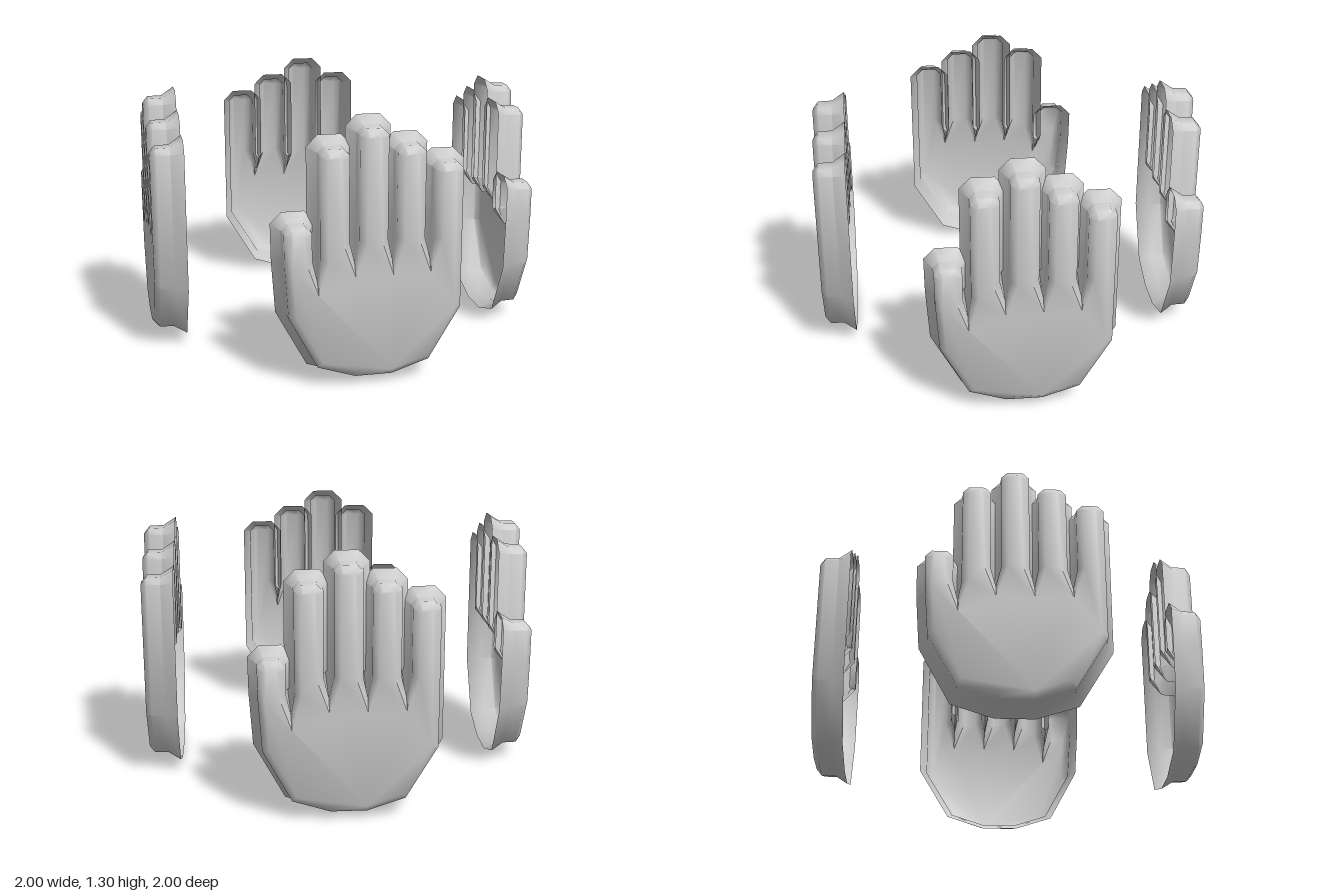
import * as THREE from 'three';
import { toCreasedNormals } from 'three/addons/utils/BufferGeometryUtils.js';

// finger: [left x, right x, tip y], thumb first
const FINGERS = [
  [-0.435, -0.3, 0.815],
  [-0.26, -0.122, 1.18],
  [-0.073, 0.065, 1.27],
  [0.108, 0.246, 1.18],
  [0.295, 0.43, 1.09],
];
// gap between neighbouring fingers: [x, y]
const VALLEYS = [[-0.277, 0.55], [-0.097, 0.63], [0.087, 0.63], [0.271, 0.63]];
// cross-section of the shell: [outward offset, depth]
const LAYERS = [[-0.033, 1], [0, 0.972], [0.002, 0.9], [0.042, 0.835]];

// Hand contour, counter-clockwise seen from the front
function handOutline() {
  const pts = [[-0.432, 0.62], [-0.415, 0.37], [-0.275, 0.11], [-0.09, 0.05],
    [0.09, 0.05], [0.275, 0.11], [0.43, 0.37]];
  for (let i = FINGERS.length - 1; i >= 0; i--) {
    const [l, r, top] = FINGERS[i];
    const c = 0.03;
    if (i < 4) pts.push([r, VALLEYS[i][1] + 0.1]);
    pts.push([r, top - c], [r - c, top], [l + c, top], [l, top - c]);
    if (i > 0) pts.push([l, VALLEYS[i - 1][1] + 0.1], VALLEYS[i - 1]);
  }
  return pts.map(([x, y]) => new THREE.Vector2(x, y));
}

// Moves every corner outward along its mitre, limited at the sharp valleys
function offsetOutline(pts, d) {
  const n = pts.length;
  return pts.map((p, i) => {
    const a = p.clone().sub(pts[(i + n - 1) % n]).normalize();
    const b = pts[(i + 1) % n].clone().sub(p).normalize();
    const normal = new THREE.Vector2(a.y + b.y, -a.x - b.x).normalize();
    const cos = normal.x * a.y - normal.y * a.x;
    return p.clone().addScaledVector(normal, d * Math.min(1 / cos, 2));
  });
}

function handGeometry() {
  const outline = handOutline();
  const n = outline.length;
  const positions = [];
  const index = [];
  const rings = LAYERS.map(([d]) => offsetOutline(outline, d));
  rings.forEach((ring, k) => ring.forEach((p) => positions.push(p.x, p.y, LAYERS[k][1])));
  // palm and finger faces
  for (const [a, b, c] of THREE.ShapeUtils.triangulateShape(rings[0], [])) index.push(a, b, c);
  // bevel, wall and flared rim
  for (let k = 0; k < LAYERS.length - 1; k++) {
    for (let i = 0; i < n; i++) {
      const j = (i + 1) % n;
      const a = k * n + i, b = k * n + j;
      index.push(a, a + n, b, b, a + n, b + n);
    }
  }
  const geometry = new THREE.BufferGeometry();
  geometry.setAttribute('position', new THREE.Float32BufferAttribute(positions, 3));
  geometry.setIndex(index);
  return toCreasedNormals(geometry, 0.9);
}

export function createModel() {
  const model = new THREE.Group();
  model.name = 'handRing';
  const material = new THREE.MeshStandardMaterial({ color: 0xcccccc, side: THREE.DoubleSide });
  const geometry = handGeometry();
  // four hollow hands, palms outward, a quarter turn apart
  ['frontHand', 'leftHand', 'backHand', 'rightHand'].forEach((name, i) => {
    const hand = new THREE.Mesh(geometry, material);
    hand.name = name;
    hand.rotation.y = i * Math.PI / 2;
    model.add(hand);
  });
  return model;
}
